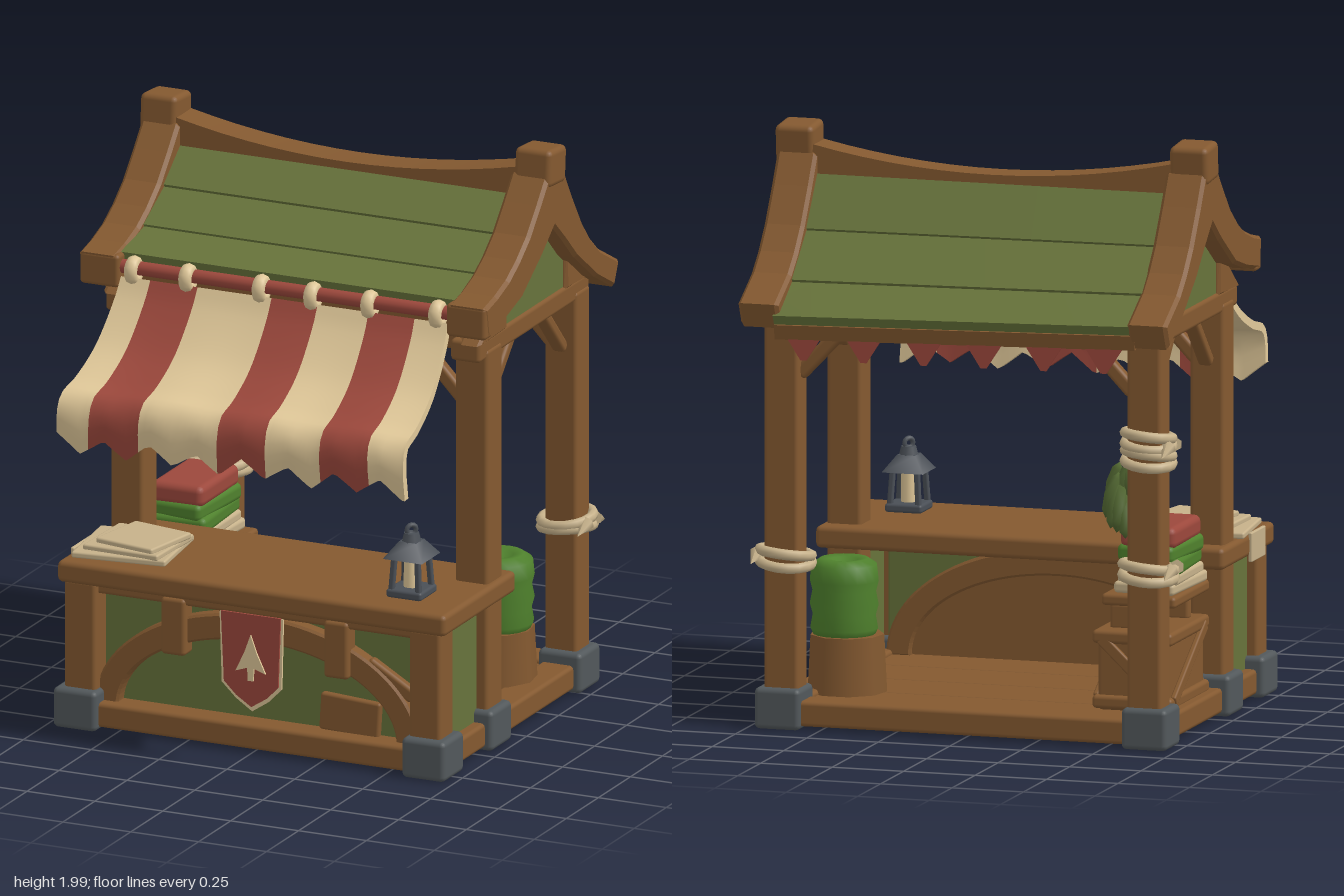
import * as THREE from 'three';
import { RoundedBoxGeometry } from 'three/addons/geometries/RoundedBoxGeometry.js';

const paint = (name, color) => {
  const m = new THREE.MeshStandardMaterial({ color });
  m.name = name;
  return m;
};

export function createModel() {
  const wood = paint('wood', 0x845930), moss = paint('moss green', 0x67733b), stone = paint('stone', 0x52585b);
  const red = paint('red cloth', 0x9c483c), tan = paint('tan cloth', 0xdfc798), leaf = paint('bright green', 0x4f812d);
  const herb = paint('herb green', 0x546a33), metal = paint('dark metal', 0x4a4f56), floorWood = paint('floor wood', 0x734a28);
  const rope = paint('rope and linen', 0xc6b18a);
  const root = new THREE.Group();
  root.name = 'marketStall';

  const add = (name, geo, mat, x = 0, y = 0, z = 0) => {
    const m = new THREE.Mesh(geo, mat);
    m.name = name;
    m.position.set(x, y, z);
    root.add(m);
    return m;
  };
  const block = (name, mat, x, y, z, w, h, d, r = 0.014) =>
    add(name, new RoundedBoxGeometry(w, h, d, 2, Math.min(r, w / 3, h / 3, d / 3)), mat, x, y, z);
  // Timber running from point a to point b
  const beam = (name, a, b, w, d, mat = wood) => {
    const p = new THREE.Vector3(...a), q = new THREE.Vector3(...b), dir = q.clone().sub(p);
    const mid = p.clone().add(q).multiplyScalar(0.5);
    const m = block(name, mat, mid.x, mid.y, mid.z, w, dir.length(), d);
    m.quaternion.setFromUnitVectors(new THREE.Vector3(0, 1, 0), dir.normalize());
    return m;
  };
  // Outline of [z, y] points extruded along x, centred on x
  const sideSlab = (name, pts, width, x, mat, bevel = 0.012) => {
    const shape = new THREE.Shape(pts.map(([z, y]) => new THREE.Vector2(-z, y)));
    const geo = new THREE.ExtrudeGeometry(shape, {
      depth: width - 2 * bevel, bevelEnabled: bevel > 0, bevelSize: bevel, bevelOffset: -bevel, bevelThickness: bevel, bevelSegments: 1,
    });
    geo.translate(0, 0, bevel - width / 2).rotateY(Math.PI / 2);
    return add(name, geo, mat, x);
  };
  // Thin plate with an [x, y] outline, facing front
  const plate = (name, mat, pts, z) =>
    add(name, new THREE.ExtrudeGeometry(new THREE.Shape(pts.map((p) => new THREE.Vector2(...p))), { depth: 0.008, bevelEnabled: false }), mat, 0, 0, z);
  // Box whose vertices are moved by a rule
  const warped = (name, geo, mat, rule) => {
    const p = geo.attributes.position, v = new THREE.Vector3();
    for (let i = 0; i < p.count; i++) {
      rule(v.fromBufferAttribute(p, i));
      p.setXYZ(i, v.x, v.y, v.z);
    }
    geo.computeVertexNormals();
    return add(name, geo, mat);
  };
  // Board spanning the stall, its section running from lo to hi ([z, y, drop]); curve(u) shapes the drop along x
  const sagging = (u) => 1 - u * u, tilted = (u) => (1 + u) / 2;
  const board = (name, mat, lo, hi, thick, curve) => {
    const dz = hi[0] - lo[0], dy = hi[1] - lo[1], len = Math.hypot(dz, dy), half = 0.63;
    return warped(name, new THREE.BoxGeometry(half * 2, 1, 1, 14, 1, 1), mat, (v) => {
      const t = v.y + 0.5, n = v.z * thick;
      const drop = (lo[2] + (hi[2] - lo[2]) * t) * curve(v.x / half);
      v.z = lo[0] + dz * t + (dy / len) * n;
      v.y = lo[1] + dy * t - (dz / len) * n - drop;
    });
  };

  // Floor and base timbers
  block('floor', floorWood, 0, 0.05, -0.02, 1.24, 0.06, 1.1);
  for (let i = 0; i < 4; i++) block('floorPlank', wood, 0, 0.076, -0.4 + i * 0.25, 1.2, 0.02, 0.246, 0.005);
  for (const z of [0.5, -0.56]) block('baseBeam', wood, 0, 0.06, z, 1.24, 0.085, 0.12);

  for (const s of [-1, 1]) {
    const x = 0.635 * s;
    block('baseSideBeam', wood, x, 0.06, -0.02, 0.12, 0.085, 1.04);
    // Stone feet and posts
    for (const z of [0.505, 0.13, -0.56]) block('stoneFoot', stone, 0.642 * s, 0.075, z, 0.16, 0.14, 0.16, 0.018);
    block('counterPost', wood, x, 0.3, 0.5, 0.115, 0.44, 0.11);
    block('middlePost', wood, x, 0.74, 0.13, 0.12, 1.32, 0.12);
    block('backPost', wood, x, 0.74, -0.56, 0.12, 1.32, 0.11);
    block('counterSidePanel', moss, x, 0.3, 0.31, 0.04, 0.42, 0.3);
    // Roof frame
    block('tieBeam', wood, x, 1.405, -0.19, 0.11, 0.075, 0.86);
    beam('sideBrace', [x, 1.2, 0.07], [x, 1.38, -0.11], 0.05, 0.04);
    beam('sideBrace', [x, 1.2, -0.51], [x, 1.38, -0.34], 0.05, 0.04);
    for (const z of [0.13, -0.56]) beam('crossBrace', [x - 0.05 * s, 1.2, z], [x - 0.23 * s, 1.39, z], 0.05, 0.045);
    sideSlab('gablePanel', [[0.2, 1.42], [-0.22, 1.8], [-0.64, 1.42]], 0.05, 0.655 * s, moss, 0);
    sideSlab('gableCorner', [[0.25, 1.43], [0.03, 1.43], [0.03, 1.6]], 0.08, 0.655 * s, wood);
    sideSlab('gableCorner', [[-0.43, 1.43], [-0.63, 1.43], [-0.43, 1.6]], 0.08, 0.655 * s, wood);
    sideSlab('rafter', [
      [0.32, 1.59], [0.23, 1.61], [0.14, 1.64], [0.06, 1.685], [-0.02, 1.745], [-0.1, 1.83], [-0.17, 1.91],
      [-0.3, 1.9], [-0.36, 1.8], [-0.44, 1.68], [-0.51, 1.6], [-0.58, 1.54], [-0.73, 1.46], [-0.69, 1.375],
      [-0.55, 1.45], [-0.39, 1.565], [-0.3, 1.65], [-0.22, 1.72], [-0.13, 1.65], [0.03, 1.545], [0.15, 1.51], [0.3, 1.48],
    ], 0.14, 0.68 * s, wood);
    const cap = block('ridgeCap', wood, 0.69 * s, 1.93, -0.235, 0.135, 0.13, 0.135, 0.02);
    cap.rotation.x = -0.08;
    block('rafterTip', wood, 0.675 * s, 1.535, 0.29, 0.145, 0.115, 0.06);
  }

  // Cross beams, sagging ridge and straight overlapping roof boards
  for (const z of [0.13, -0.56]) block('crossBeam', wood, 0, 1.42, z, 1.24, 0.075, 0.09);
  board('ridgeBeam', wood, [-0.235, 1.78, 0], [-0.235, 1.93, 0.07], 0.115, sagging);
  const frontLine = [[0.27, 1.565, 0], [0.1, 1.615, 0], [-0.06, 1.71, 0], [-0.19, 1.82, 0]];
  const backLine = [[-0.71, 1.425, 0.03], [-0.56, 1.515, 0.02], [-0.4, 1.655, 0.01], [-0.28, 1.82, 0]];
  for (const line of [frontLine, backLine])
    for (let i = 0; i < 3; i++) {
      const [z, y, drop] = line[i];
      board('roofBoard', moss, [z, y + 0.01, drop], line[i + 1], 0.036, tilted);
    }
  block('frontEaveBeam', wood, 0, 1.515, 0.24, 1.26, 0.07, 0.05);
  board('backEaveTrim', wood, [-0.68, 1.37, 0.03], [-0.69, 1.42, 0.03], 0.03, tilted);

  // Red pennants under the back eave
  for (let i = 0; i < 6; i++) {
    const x = -0.52 + i * 0.21, y = 1.385 - 0.015 * tilted(x / 0.63);
    plate('pennant', red, [[x - 0.075, y], [x - 0.01, y - 0.1], [x + 0.01, y - 0.1], [x + 0.075, y]], -0.695);
  }

  // Awning rod, cloth ties and striped awning
  const rod = add('awningRod', new THREE.CylinderGeometry(0.024, 0.024, 1.24, 12), red, 0, 1.548, 0.285);
  rod.rotation.z = Math.PI / 2;
  for (const x of [-0.56, -0.36, -0.09, 0.1, 0.31, 0.56]) {
    const tie = add('awningTie', new THREE.TorusGeometry(0.028, 0.018, 8, 14), tan, x, 1.54, 0.288);
    tie.rotation.y = Math.PI / 2;
    tie.scale.set(1, 1.1, 1.35);
  }
  const awning = new THREE.CatmullRomCurve3([[0.29, 1.51], [0.325, 1.45], [0.455, 1.31], [0.59, 1.235], [0.695, 1.2], [0.713, 1.16], [0.707, 1.085]]
    .map(([z, y]) => new THREE.Vector3(0, y, z)));
  const edges = [-0.64, -0.525, -0.34, -0.05, 0.13, 0.33, 0.51, 0.64];
  for (let i = 0; i < 7; i++) {
    const w = edges[i + 1] - edges[i], mid = (edges[i] + edges[i + 1]) / 2;
    warped('awningStripe', new THREE.BoxGeometry(w, 1, 1, 12, 24, 1), i % 2 ? red : tan, (v) => {
      const t = Math.min(1, Math.max(0, 0.5 - v.y)), x = mid + v.x, n = v.z * 0.028;
      const p = awning.getPointAt(t), d = awning.getTangentAt(t);
      const tooth = Math.abs((((x + 0.64) / 0.17) % 1) * 2 - 1);
      const wave = 0.006 * Math.sin(x * 17) * t;
      v.x = x * (0.94 + 0.06 * t);
      v.y = p.y + d.z * n + wave - 0.06 * (1 - tooth) * Math.max(0, (t - 0.8) / 0.2);
      v.z = p.z - d.y * n + wave * 0.5;
    });
  }

  // Counter: top, panel, arch with inner backing, hanging blocks
  block('counterTop', wood, 0, 0.545, 0.285, 1.43, 0.075, 0.56, 0.018);
  block('counterRail', wood, 0, 0.495, 0.49, 1.2, 0.04, 0.08);
  block('counterPanel', moss, 0, 0.3, 0.455, 1.2, 0.42, 0.03);
  const arch = new THREE.Shape();
  arch.absellipse(0, 0.09, 0.59, 0.375, 0, Math.PI, false);
  arch.absellipse(0, 0.09, 0.52, 0.3, Math.PI, 0, true);
  add('counterArch', new THREE.ExtrudeGeometry(arch, { depth: 0.09, bevelSize: 0.008, bevelThickness: 0.008, bevelSegments: 1, curveSegments: 24 }), wood, 0, 0, 0.42);
  const backing = new THREE.Shape().absellipse(0, 0.09, 0.53, 0.31, 0, Math.PI, false);
  add('archBacking', new THREE.ExtrudeGeometry(backing, { depth: 0.01, bevelEnabled: false, curveSegments: 24 }), wood, 0, 0, 0.429);
  for (const s of [-1, 1]) block('counterBracket', wood, 0.3 * s, 0.4, 0.505, 0.09, 0.2, 0.07);
  beam('counterStrut', [0.4, 0.36, 0.49], [0.57, 0.26, 0.49], 0.05, 0.04);
  block('lowBoard', wood, 0.33, 0.16, 0.48, 0.22, 0.13, 0.03).rotation.z = -0.06;

  // Banner with border and leaf motif
  plate('bannerBorder', tan, [[-0.12, 0.485], [-0.112, 0.24], [-0.06, 0.19], [0, 0.15], [0.06, 0.19], [0.108, 0.24], [0.114, 0.485]], 0.545);
  plate('banner', red, [[-0.112, 0.49], [-0.101, 0.247], [-0.056, 0.203], [0, 0.167], [0.056, 0.203], [0.098, 0.247], [0.107, 0.49]], 0.552);
  plate('bannerLeaf', tan, [[0, 0.42], [-0.022, 0.36], [-0.055, 0.29], [-0.012, 0.305], [-0.01, 0.26], [0.01, 0.26], [0.012, 0.305], [0.055, 0.29], [0.022, 0.36]], 0.559);

  // Folded linen on the counter
  for (let i = 0; i < 3; i++) {
    const c = block('foldedCloth', rope, -0.54 + i * 0.02, 0.592 + i * 0.017, 0.34, 0.33 - i * 0.05, 0.022, 0.31 - i * 0.04, 0.008);
    c.rotation.y = 0.12 - i * 0.15;
  }
  block('clothDrape', rope, -0.718, 0.54, 0.36, 0.014, 0.1, 0.15);

  // Lantern
  const lx = 0.51, lz = 0.39;
  block('lanternBase', metal, lx, 0.597, lz, 0.13, 0.03, 0.13);
  for (const sx of [-1, 1]) for (const sz of [-1, 1])
    beam('lanternBar', [lx + 0.05 * sx, 0.6, lz + 0.05 * sz], [lx + 0.042 * sx, 0.73, lz + 0.042 * sz], 0.02, 0.02, metal);
  add('candle', new THREE.CylinderGeometry(0.025, 0.027, 0.11, 10), tan, lx, 0.662, lz);
  const hood = add('lanternHood', new THREE.CylinderGeometry(0.045, 0.102, 0.055, 4), metal, lx, 0.745, lz);
  hood.rotation.y = Math.PI / 4;
  add('lanternChimney', new THREE.CylinderGeometry(0.026, 0.034, 0.03, 8), metal, lx, 0.785, lz);
  add('lanternRing', new THREE.TorusGeometry(0.016, 0.009, 6, 12), metal, lx, 0.81, lz).rotation.y = Math.PI / 4;

  // Tree stump with a rolled green cloth
  add('stump', new THREE.CylinderGeometry(0.125, 0.135, 0.2, 9), wood, 0.51, 0.18, -0.28);
  const roll = [[0, 0.27], [0.1, 0.27], [0.114, 0.3], [0.106, 0.345], [0.116, 0.38], [0.107, 0.425], [0.116, 0.46], [0.11, 0.515], [0.08, 0.535], [0.045, 0.53], [0.03, 0.51], [0, 0.51]];
  add('clothRoll', new THREE.LatheGeometry(roll.map((p) => new THREE.Vector2(...p)), 18), leaf, 0.52, 0, -0.28);

  // Crate, shelf and stack of folded cloth
  block('crate', wood, -0.52, 0.21, -0.18, 0.25, 0.25, 0.38);
  for (const y of [0.115, 0.335]) block('crateRim', wood, -0.52, y, -0.18, 0.28, 0.045, 0.42);
  for (const s of [-1, 1]) {
    beam('crateBrace', [-0.52 + 0.135 * s, 0.12, -0.35], [-0.52 + 0.135 * s, 0.33, -0.01], 0.02, 0.04);
    beam('crateBrace', [-0.63, 0.12, -0.18 + 0.2 * s], [-0.41, 0.33, -0.18 + 0.2 * s], 0.04, 0.02);
    block('shelfLeg', wood, -0.52, 0.395, -0.18 + 0.12 * s, 0.2, 0.09, 0.04);
  }
  block('shelf', wood, -0.53, 0.455, -0.16, 0.26, 0.04, 0.38);
  [[rope, 0.495, 0.04, 0.33], [rope, 0.525, 0.04, 0.3], [leaf, 0.565, 0.06, 0.32], [leaf, 0.61, 0.06, 0.31], [red, 0.665, 0.075, 0.3]]
    .forEach(([mat, y, h, d], i) => {
      block('stackedCloth', mat, -0.55, y, -0.165, 0.215 - 0.005 * i, h, d, 0.024).rotation.y = 0.05 * (i % 3 - 1);
    });

  // Rope wraps on the back posts
  const wrap = (x, y, turns, radius) => {
    for (let i = 0; i < turns; i++) {
      const r = add('ropeWrap', new THREE.TorusGeometry(radius, 0.018, 8, 16), rope, x, y + (i - (turns - 1) / 2) * 0.03, -0.56);
      r.rotation.set(Math.PI / 2 + 0.1 * (i % 2 ? 1 : -1), 0.1, 0);
    }
    for (const s of [-1, 1]) {
      const end = add('ropeEnd', new THREE.ConeGeometry(0.026, 0.08, 6), rope, x + radius * Math.sign(x), y, -0.56 + 0.07 * s);
      end.rotation.x = s * 1.9;
    }
  };
  wrap(0.635, 0.58, 2, 0.088);
  wrap(-0.635, 0.6, 2, 0.088);
  wrap(-0.635, 1.015, 4, 0.08);

  // Hanging herb bunch
  beam('herbString', [-0.57, 1.02, -0.5], [-0.52, 0.94, -0.47], 0.024, 0.024, rope);
  for (let i = 0; i < 12; i++) {
    const a = i * 2.4, r = i ? 0.036 : 0, y = 0.87 - (i % 4) * 0.032;
    const l = add('herbLeaf', new THREE.OctahedronGeometry(1, 1), herb, -0.515 + r * Math.cos(a), y, -0.47 + r * Math.sin(a));
    l.scale.set(0.028, 0.08, 0.024);
    l.rotation.set(-Math.sin(a) * 0.3, 0, Math.cos(a) * 0.3);
  }
  return root;
}
